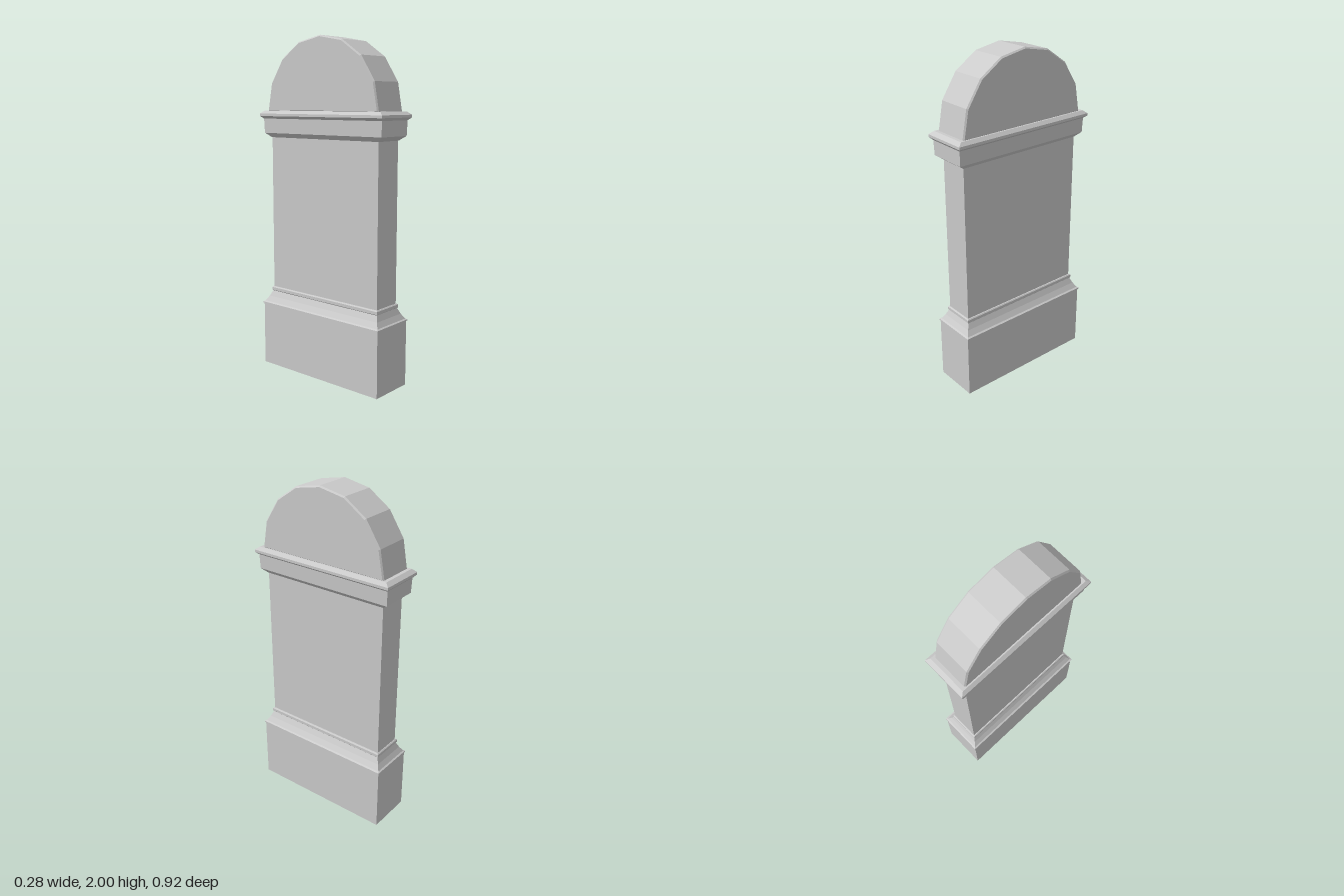
import * as THREE from 'three';

const material = new THREE.MeshStandardMaterial({ color: 0xcccccc, flatShading: true });

// Closed solid with rectangular sections, listed upward as [y, halfX, halfZ]
function loft(name, sections) {
  const positions = [];
  const index = [];
  for (const [y, x, z] of sections) {
    positions.push(x, y, z, x, y, -z, -x, y, -z, -x, y, z);
  }
  for (let s = 0; s < sections.length - 1; s++) {
    for (let i = 0; i < 4; i++) {
      const a = s * 4 + i;
      const b = s * 4 + (i + 1) % 4;
      index.push(a, b, b + 4, a, b + 4, a + 4);
    }
  }
  const t = (sections.length - 1) * 4;
  index.push(0, 2, 1, 0, 3, 2, t, t + 1, t + 2, t, t + 2, t + 3);
  const indexed = new THREE.BufferGeometry();
  indexed.setAttribute('position', new THREE.Float32BufferAttribute(positions, 3));
  indexed.setIndex(index);
  const geometry = indexed.toNonIndexed();
  geometry.computeVertexNormals();
  const mesh = new THREE.Mesh(geometry, material);
  mesh.name = name;
  return mesh;
}

// Faceted half-round top with narrow chamfers along both faces
function archedTop() {
  const half = [[0.415, 1.575], [0.385, 1.74], [0.293, 1.88], [0.16, 1.97]];
  const outline = [
    ...half,
    [0, 2],
    ...half.slice().reverse().map(([x, y]) => [-x, y]),
  ];
  const shape = new THREE.Shape(outline.map(([x, y]) => new THREE.Vector2(x, y)));
  const chamfer = 0.008;
  const width = 0.226;
  const geometry = new THREE.ExtrudeGeometry(shape, {
    depth: width - 2 * chamfer,
    bevelEnabled: true,
    bevelSegments: 1,
    bevelSize: chamfer,
    bevelThickness: chamfer,
    bevelOffset: -chamfer,
  });
  geometry.translate(0, 0, -(width / 2 - chamfer));
  geometry.rotateY(Math.PI / 2);
  const mesh = new THREE.Mesh(geometry, material);
  mesh.name = 'archedTop';
  return mesh;
}

export function createModel() {
  const group = new THREE.Group();
  group.name = 'pillar';
  group.add(
    // Plinth, thin lip and sloping shoulder
    loft('plinth', [
      [0, 0.137, 0.443],
      [0.385, 0.137, 0.443],
      [0.387, 0.142, 0.448],
      [0.394, 0.142, 0.448],
      [0.4, 0.132, 0.439],
      [0.43, 0.112, 0.421],
      [0.465, 0.095, 0.406],
    ]),
    // Narrow band at the foot of the shaft
    loft('footBand', [
      [0.463, 0.095, 0.405],
      [0.468, 0.1, 0.411],
      [0.485, 0.1, 0.411],
      [0.491, 0.095, 0.405],
    ]),
    loft('shaft', [[0.48, 0.089, 0.402], [1.43, 0.089, 0.402]]),
    // Capital block with tapered underside
    loft('capital', [
      [1.42, 0.091, 0.404],
      [1.446, 0.115, 0.441],
      [1.535, 0.118, 0.444],
    ]),
    // Projecting ledge, chamfered above and below
    loft('ledge', [
      [1.532, 0.118, 0.444],
      [1.547, 0.138, 0.459],
      [1.562, 0.138, 0.459],
      [1.58, 0.12, 0.435],
    ]),
    archedTop(),
  );
  return group;
}
